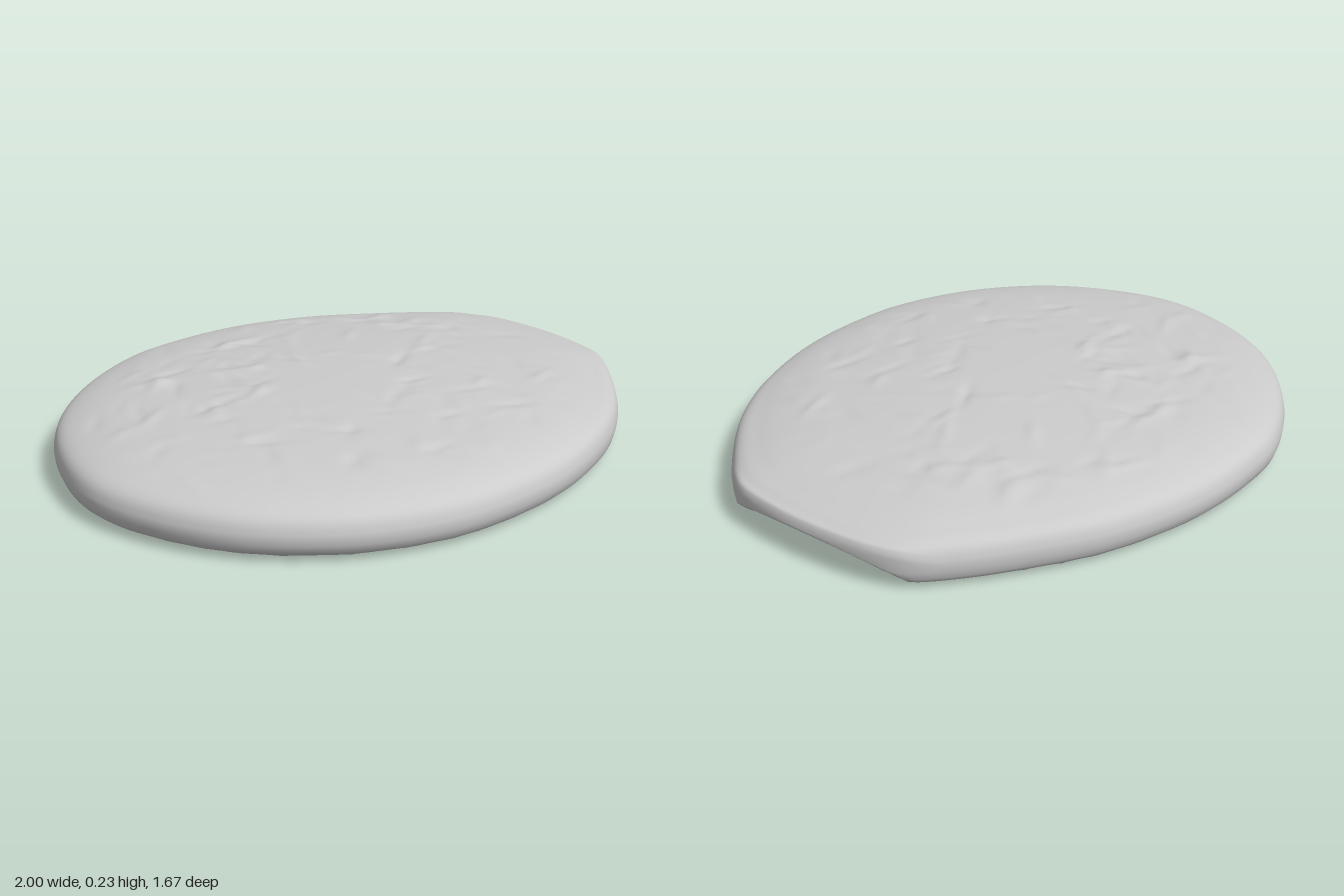
import * as THREE from 'three';

const SEGMENTS = 200;
const CENTRE_X = -0.05;

// Outline seen from above, as [x, z]: rounded, with a blunt mouth at +x
const OUTLINE = [
  [1, 0], [0.992, -0.17], [0.972, -0.28], [0.93, -0.375], [0.84, -0.465], [0.68, -0.585], [0.45, -0.725],
  [0.13, -0.825], [-0.12, -0.84], [-0.32, -0.815], [-0.6, -0.68], [-0.82, -0.48], [-0.95, -0.24], [-1, 0],
  [-0.95, 0.24], [-0.82, 0.48], [-0.6, 0.68], [-0.33, 0.8], [-0.1, 0.83], [0.17, 0.81],
  [0.46, 0.715], [0.66, 0.595], [0.83, 0.44], [0.92, 0.335], [0.967, 0.25], [0.99, 0.13],
];

// Upper profile: [fraction of radius, height]
const TOP = [
  [0, 0.225], [0.25, 0.222], [0.45, 0.214], [0.6, 0.205], [0.75, 0.193], [0.86, 0.176],
  [0.93, 0.157], [0.97, 0.138], [0.99, 0.115], [1, 0.08],
];
// Underside cuff: [fraction of cuff width, height], ending in a curled hem
const CUFF = [
  [0.01, 0.058], [0.05, 0.036], [0.12, 0.022], [0.25, 0.013], [0.45, 0.01],
  [0.7, 0.012], [0.93, 0.014], [1, 0.02], [0.99, 0.03],
];

const smooth = THREE.MathUtils.smoothstep;
const lerp = THREE.MathUtils.lerp;

const curve = new THREE.CatmullRomCurve3(OUTLINE.map(([x, z]) => new THREE.Vector3(x, 0, z)), true);
const rim = curve.getSpacedPoints(SEGMENTS).slice(0, SEGMENTS);

// Radius fraction of the opening edge: the cuff narrows towards the mouth
const innerEdge = (p) => 0.77 + 0.1 * smooth(p.x, 0, 0.8)
  + 0.11 * smooth(p.x, 0.7, 0.95) * (1 - smooth(Math.abs(p.z), 0.2, 0.42));

// Short cloth creases scattered over the upper face
let seed = 7;
const random = () => (seed = (seed * 16807) % 2147483647) / 2147483647;
const creases = Array.from({ length: 190 }, () => {
  const r = lerp(0.25, 0.85, random()), a = random() * Math.PI * 2, turn = random() * Math.PI;
  return {
    x: CENTRE_X + r * Math.cos(a), z: 0.83 * r * Math.sin(a),
    cos: Math.cos(turn), sin: Math.sin(turn),
    length: lerp(0.04, 0.08, random()), height: lerp(-0.006, 0.006, random()),
  };
});

function wrinkle(x, z) {
  let y = 0;
  for (const c of creases) {
    const u = ((x - c.x) * c.cos + (z - c.z) * c.sin) / c.length;
    const w = ((z - c.z) * c.cos - (x - c.x) * c.sin) / 0.02;
    y += c.height * Math.exp(-u * u - w * w);
  }
  return y;
}

// Joins rings of points into one smooth surface
function loft(rings) {
  const positions = rings.flatMap((ring) => ring.flatMap((v) => [v.x, v.y, v.z]));
  const index = [];
  for (let i = 0; i < rings.length - 1; i++) {
    for (let j = 0; j < SEGMENTS; j++) {
      const k = (j + 1) % SEGMENTS;
      const a = i * SEGMENTS + j, b = a + SEGMENTS;
      const c = (i + 1) * SEGMENTS + k, d = i * SEGMENTS + k;
      index.push(a, b, c, a, c, d);
    }
  }
  const geometry = new THREE.BufferGeometry();
  geometry.setAttribute('position', new THREE.Float32BufferAttribute(positions, 3));
  geometry.setIndex(index);
  geometry.computeVertexNormals();
  return geometry;
}

const place = (p, s, y) => new THREE.Vector3(lerp(CENTRE_X, p.x, s), y, p.z * s);

// Upper face, sampled densely enough to carry the creases
function topRings() {
  const profile = new THREE.SplineCurve(TOP.map(([s, y]) => new THREE.Vector2(s, y)));
  return profile.getSpacedPoints(80).map(({ x: s, y }) => rim.map((p) => {
    const v = place(p, Math.min(s, 1), y);
    v.y += wrinkle(v.x, v.z) * (1 - smooth(s, 0.8, 0.97));
    v.y -= 0.01 * smooth(v.x, 0.1, 0.8) * (1 - smooth(s, 0.9, 1));
    v.y += 0.027 * smooth(v.x, 0.85, 1) * smooth(s, 0.97, 1);
    return v;
  }));
}

// Gathered cuff folding under the rim; it slopes up at the mouth, shaping its arch
function cuffRings() {
  return CUFF.map(([u, y]) => rim.map((p, j) => {
    const angle = (j / SEGMENTS) * Math.PI * 2;
    const gather = 0.008 * Math.sin(40 * angle + 2 * Math.sin(7 * angle))
      * smooth(u, 0.08, 0.3) * (1 - smooth(u, 0.8, 1)) * (1 - smooth(p.x, 0.5, 0.85));
    const v = place(p, 1 - (1 - innerEdge(p)) * u, y + gather);
    v.y = Math.max(v.y, 0.02 + 0.95 * (v.x - 0.915));
    return v;
  }));
}

export function createModel() {
  const group = new THREE.Group();
  // Hollow cloth cover, open underneath
  const cover = new THREE.Mesh(
    loft([...topRings(), ...cuffRings()]),
    new THREE.MeshStandardMaterial({ color: 0xcccccc, side: THREE.DoubleSide }),
  );
  cover.name = 'fittedCover';
  group.add(cover);
  return group;
}
